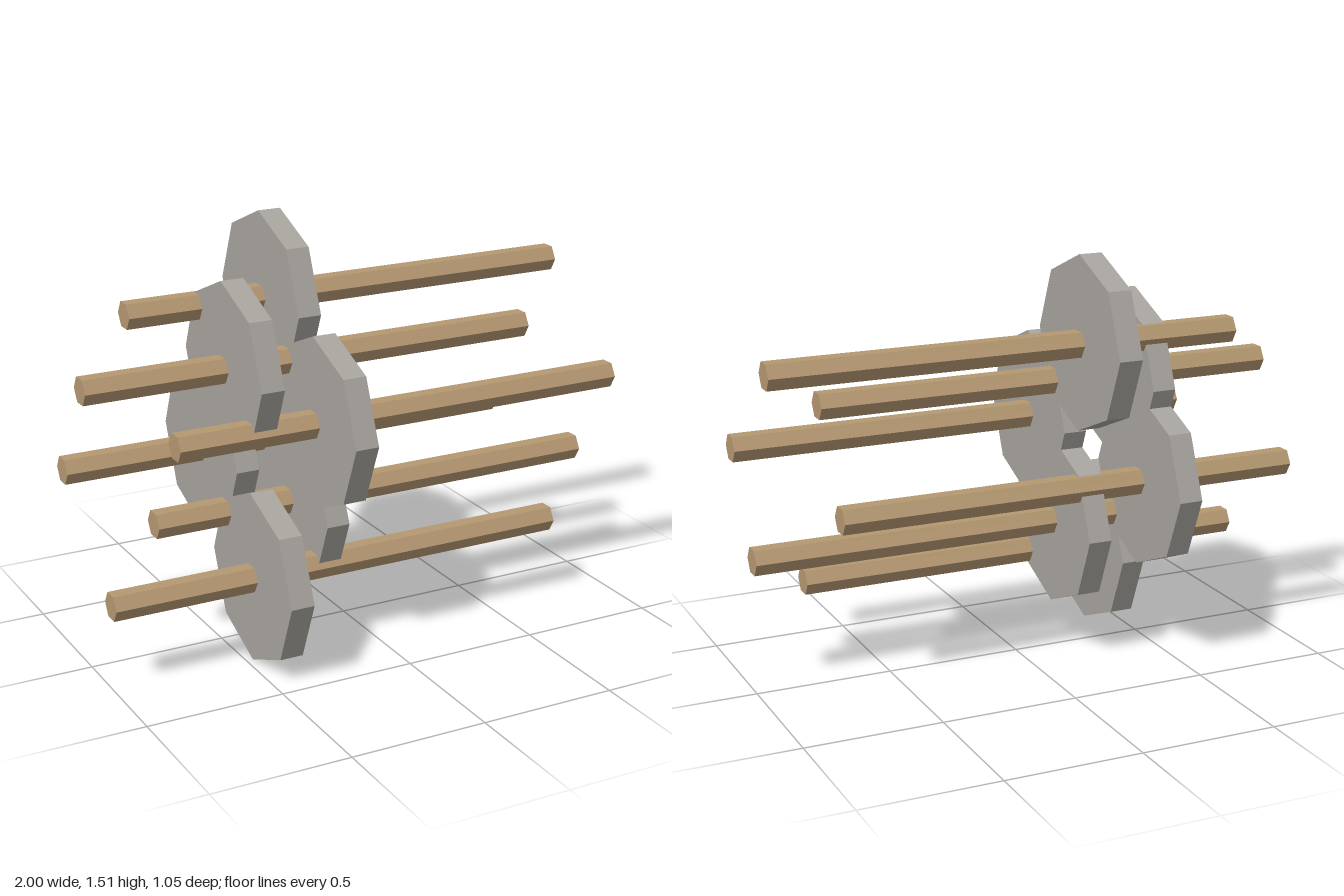
import * as THREE from 'three';

const COUNT = 6;
const RISE = 0.176;        // height step between rods
const SWING = 0.21;        // depth offset of the outer rods
const DISC_RADIUS = 0.315;

export function createModel() {
  const model = new THREE.Group();
  const wood = new THREE.MeshStandardMaterial({ color: 0xb59871, flatShading: true });
  wood.name = 'wood';
  const stone = new THREE.MeshStandardMaterial({ color: 0xa8a49e, flatShading: true });
  stone.name = 'stone';

  // Prisms lying along x
  const prism = (radius, length, sides) =>
    new THREE.CylinderGeometry(radius, radius, length, sides).rotateZ(Math.PI / 2);
  const rodGeometry = prism(0.052, 1.75, 6);
  const discGeometry = prism(DISC_RADIUS, 0.086, 8);

  const add = (name, geometry, material, x, y, z) => {
    const mesh = new THREE.Mesh(geometry, material);
    mesh.name = name;
    mesh.position.set(x, y, z);
    model.add(mesh);
  };

  // Each rod carries one octagonal disc; alternate rods shift sideways
  for (let i = 0; i < COUNT; i++) {
    const y = DISC_RADIUS + i * RISE;
    const z = SWING * (1 - (i % 3));
    const odd = i % 2 === 1;
    add(`rod${i + 1}`, rodGeometry, wood, odd ? 0.125 : -0.125, y, z);
    add(`disc${i + 1}`, discGeometry, stone, odd ? -0.187 : -0.432, y, z);
  }
  return model;
}
